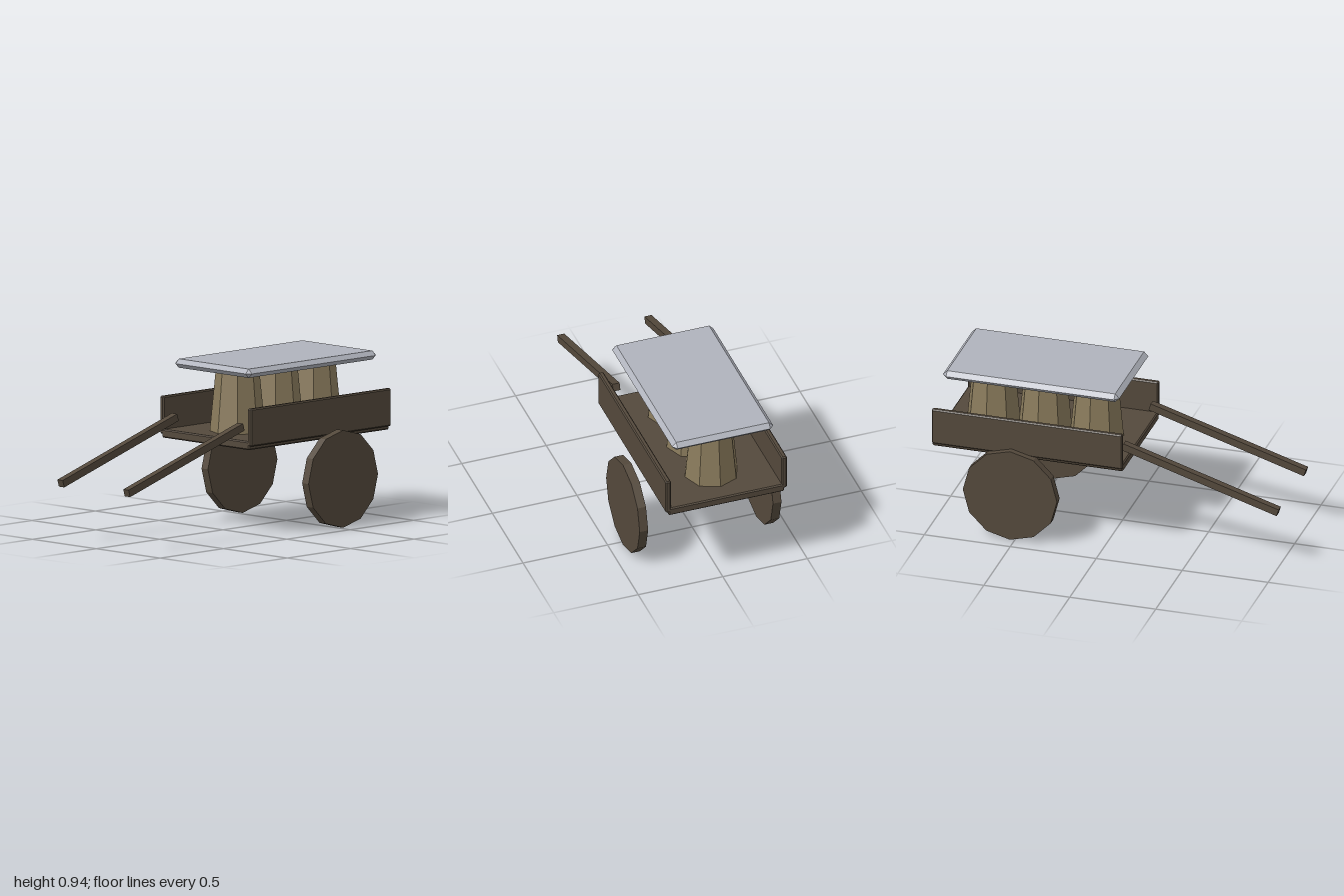
import * as THREE from 'three';
import { ConvexGeometry } from 'three/addons/geometries/ConvexGeometry.js';

const material = (name, color) => {
  const m = new THREE.MeshStandardMaterial({ color, flatShading: true });
  m.name = name;
  return m;
};

// Box with every edge cut by a flat chamfer of width b
function chamferedBox(w, h, d, b) {
  const points = new Map();
  const half = [w / 2, h / 2, d / 2];
  for (const sx of [-1, 1]) for (const sy of [-1, 1]) for (const sz of [-1, 1]) {
    for (let full = 0; full < 3; full++) {
      const p = [sx, sy, sz].map((s, i) => s * (i === full ? half[i] : half[i] - b));
      // a chamfer of half the height merges some corners
      const key = p.map((v) => Math.round(v * 1e4)).join();
      points.set(key, new THREE.Vector3(...p));
    }
  }
  return new ConvexGeometry([...points.values()]);
}

export function createModel() {
  const cart = new THREE.Group();
  cart.name = 'handcart';
  const wood = material('dark wood', 0x54493c);
  const barrelWood = material('pale wood', 0x8a7b5c);
  const stone = material('grey slab', 0xb0b3bc);
  const midX = 0.44, midZ = -0.025;

  const add = (name, geometry, mat, x, y, z) => {
    const mesh = new THREE.Mesh(geometry, mat);
    mesh.name = name;
    mesh.position.set(x, y, z);
    cart.add(mesh);
    return mesh;
  };

  // Bed and its two long side boards; the ends are open
  add('bed', chamferedBox(1.108, 0.048, 0.684, 0.007), wood, midX, 0.516, midZ);
  for (const [side, s] of [['front', 1], ['back', -1]]) {
    add(side + 'SideBoard', chamferedBox(1.108, 0.212, 0.031, 0.007), wood,
      midX, 0.619, midZ + s * 0.343);

    // Solid twelve-sided wheel with a corner at the bottom
    const wheel = add(side + 'Wheel', new THREE.CylinderGeometry(0.274, 0.274, 0.05, 12), wood,
      0.527, 0.274, s * 0.394);
    wheel.rotation.x = Math.PI / 2;

    // Sloping pull handle
    const handle = add(side + 'Handle', new THREE.BoxGeometry(0.945, 0.042, 0.042), wood,
      -0.543, 0.475, midZ + s * 0.258);
    handle.rotation.z = 0.299;
  }

  // Three tapered eight-sided tubs
  for (let i = 0; i < 3; i++) {
    add('tub' + (i + 1), new THREE.CylinderGeometry(0.12, 0.155, 0.36, 8), barrelWood,
      midX + (i - 1) * 0.3, 0.715, midZ);
  }

  // Slab resting on the tubs, chamfered to a sharp rim
  add('slab', chamferedBox(1.026, 0.05, 0.598, 0.025), stone, midX, 0.91, midZ);
  return cart;
}
